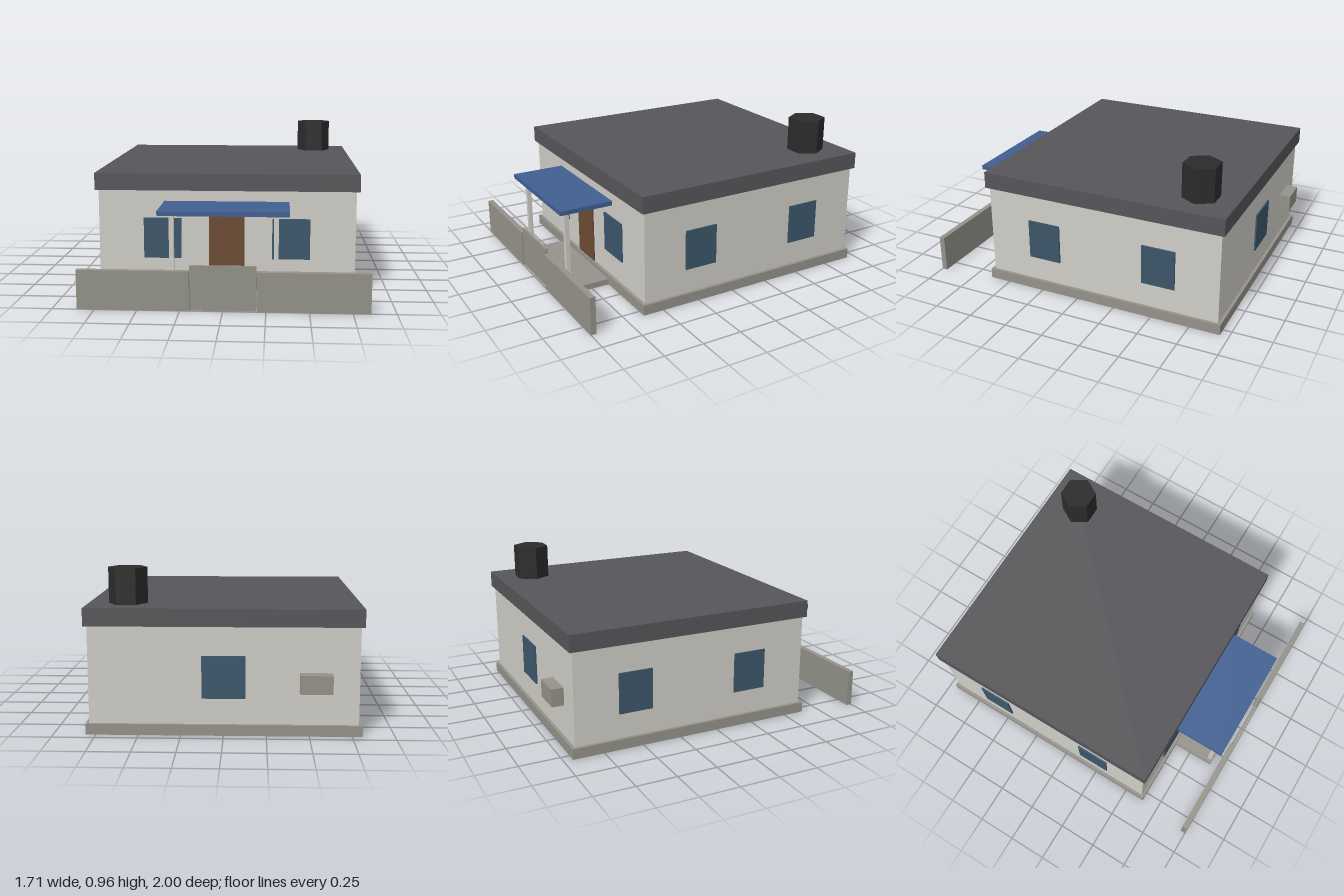
import * as THREE from 'three';

const paint = (name, color) => {
  const m = new THREE.MeshStandardMaterial({ color });
  m.name = name;
  return m;
};

export function createModel() {
  const wall = paint('plaster', 0xcfcdc6);
  const slate = paint('roof grey', 0x56565a);
  const concrete = paint('concrete', 0x949289);
  const blue = paint('canopy blue', 0x405f90);
  const glass = paint('window blue', 0x3c566a);
  const wood = paint('door brown', 0x6c4b33);
  const black = paint('chimney black', 0x2b2b2b);

  const house = new THREE.Group();
  house.name = 'house';

  // Box given by its limits on each axis
  const box = (name, mat, [x0, x1], [y0, y1], [z0, z1]) => {
    const mesh = new THREE.Mesh(new THREE.BoxGeometry(x1 - x0, y1 - y0, z1 - z0), mat);
    mesh.position.set((x0 + x1) / 2, (y0 + y1) / 2, (z0 + z1) / 2);
    mesh.name = name;
    house.add(mesh);
    return mesh;
  };

  // Main body
  box('plinth', concrete, [-0.81, 0.81], [0, 0.065], [-0.945, 0.635]);
  box('walls', wall, [-0.79, 0.79], [0.065, 0.645], [-0.925, 0.615]);
  box('roof', slate, [-0.81, 0.81], [0.645, 0.75], [-0.945, 0.635]);

  // Six-sided chimney with corners pointing along x
  const chimney = new THREE.Mesh(new THREE.CylinderGeometry(0.117, 0.117, 0.215, 6).toNonIndexed(), black);
  chimney.geometry.computeVertexNormals();
  chimney.rotation.y = Math.PI / 6;
  chimney.position.set(0.575, 0.8575, -0.715);
  chimney.name = 'chimney';
  house.add(chimney);

  // Door and windows
  const sill = [0.22, 0.472];
  box('door', wood, [-0.109, 0.109], [0.065, 0.515], [0.615, 0.6245]);
  box('backWindow', glass, [-0.128, 0.128], sill, [-0.9345, -0.925]);

  // Porch slab and canopy
  box('porchSlab', concrete, [-0.345, 0.345], [0, 0.038], [0.635, 0.915]);
  box('canopy', blue, [-0.383, 0.383], [0.55, 0.578], [0.615, 0.957]);

  // Parts repeated on both sides
  for (const s of [-1, 1]) {
    const mirror = (a, b) => (s > 0 ? [a, b] : [-b, -a]);
    box('frontWindow', glass, mirror(0.28, 0.512), sill, [0.615, 0.6245]);
    for (const z of [0.23, -0.54]) {
      box('sideWindow', glass, mirror(0.79, 0.7995), sill, [z - 0.107, z + 0.107]);
    }
    box('porchPost', wall, mirror(0.292, 0.32), [0.038, 0.55], [0.877, 0.905]);
    box('fencePanel', concrete, mirror(0.195, 0.853), [0, 0.235], [0.965, 1]);
  }

  // Gate and rear wall unit
  box('gate', concrete, [-0.193, 0.193], [0, 0.268], [0.975, 0.99]);
  box('wallUnit', concrete, [-0.63, -0.442], [0.265, 0.375], [-1, -0.925]);

  return house;
}
